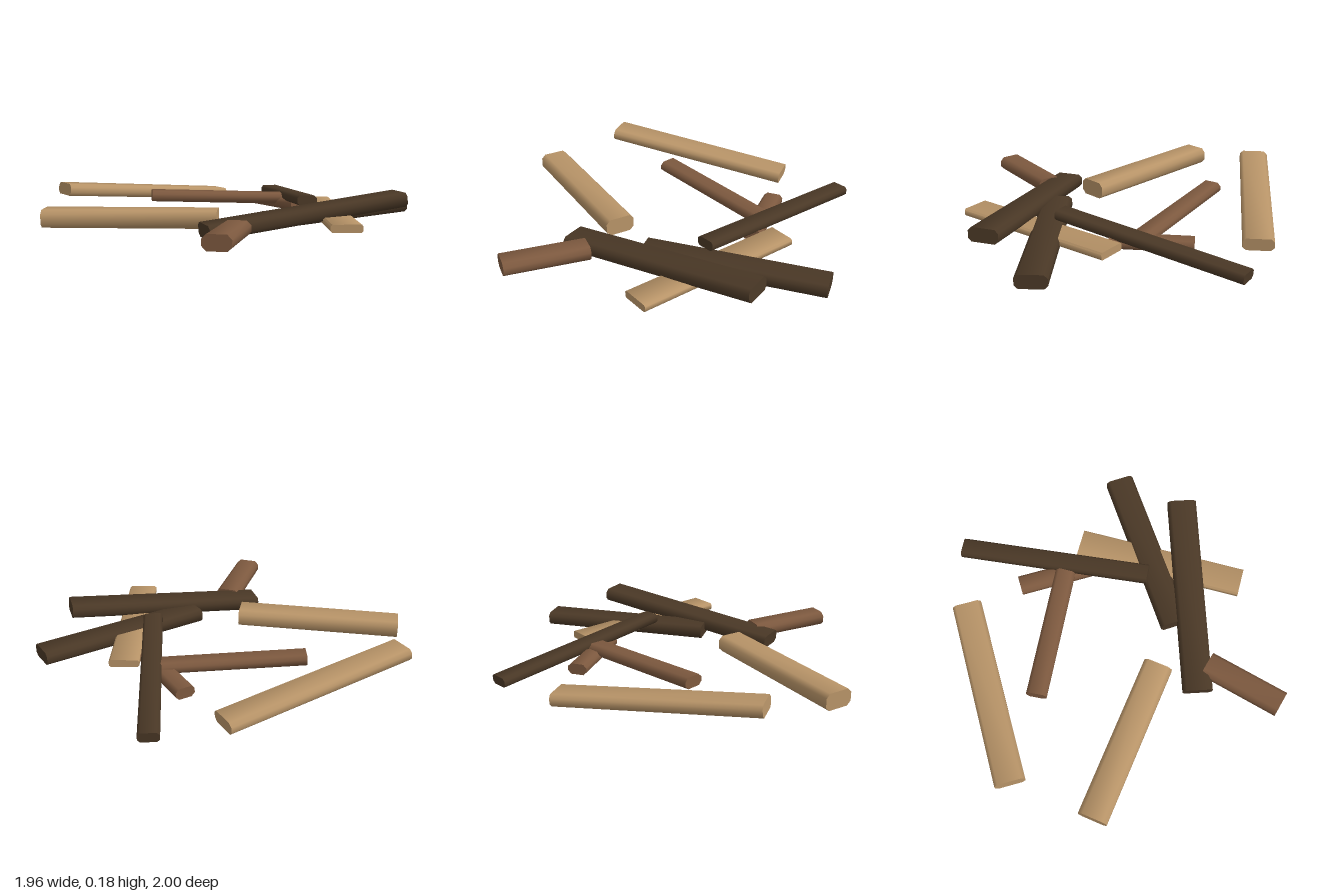
import * as THREE from 'three';
import { toCreasedNormals } from 'three/addons/utils/BufferGeometryUtils.js';

const tan = new THREE.MeshStandardMaterial({ name: 'tan wood', color: 0xb89468 });
const brown = new THREE.MeshStandardMaterial({ name: 'brown wood', color: 0x7d593f });
const dark = new THREE.MeshStandardMaterial({ name: 'dark wood', color: 0x4a3826 });

// Plank with chamfered long edges, running between two end centres
function plank(name, material, from, to, width, thick, chamfer = 0.018) {
  const a = new THREE.Vector3(...from), b = new THREE.Vector3(...to);
  const w = width / 2, h = thick / 2, c = chamfer;
  const section = new THREE.Shape([
    [-w + c, -h], [w - c, -h], [w, -h + c], [w, h - c],
    [w - c, h], [-w + c, h], [-w, h - c], [-w, -h + c],
  ].map(([x, y]) => new THREE.Vector2(x, y)));
  const geometry = toCreasedNormals(
    new THREE.ExtrudeGeometry(section, { depth: a.distanceTo(b), bevelEnabled: false }), 0.95);

  // Lay the extrusion along the line, keeping the plank's width level
  const along = b.clone().sub(a).normalize();
  const side = new THREE.Vector3(0, 1, 0).cross(along).normalize();
  const up = along.clone().cross(side);
  geometry.applyMatrix4(new THREE.Matrix4().makeBasis(side, up, along).setPosition(a));

  const mesh = new THREE.Mesh(geometry, material);
  mesh.name = name;
  return mesh;
}

export function createModel() {
  const group = new THREE.Group();
  group.name = 'plankPile';
  group.add(
    // Tan planks
    plank('backTanPlank', tan, [-0.923, 0.147, -0.015], [-0.185, 0.045, -0.77], 0.16, 0.066),
    plank('frontTanPlank', tan, [-0.86, 0.06, 0.43], [0.03, 0.066, 0.325], 0.158, 0.092, 0.022),
    plank('thinTanPlank', tan, [0.455, 0.065, -0.41], [0.69, 0.063, 0.49], 0.158, 0.04, 0.008),
    // Dark planks
    plank('backDarkPlank', dark, [0.105, 0.046, -0.983], [0.452, 0.125, 0.025], 0.105, 0.052, 0.013),
    plank('middleDarkPlank', dark, [0.29, 0.06, 0.29], [0.92, 0.055, -0.42], 0.157, 0.072),
    plank('frontDarkPlank', dark, [0.015, 0.042, 0.578], [0.93, 0.145, -0.02], 0.16, 0.074),
    // Brown planks
    plank('longBrownPlank', brown, [-0.452, 0.105, -0.15], [0.28, 0.075, -0.4], 0.11, 0.06),
    plank('crossBrownPlank', brown, [0.065, 0.05, -0.575], [0.37, 0.055, -0.28], 0.105, 0.06),
    plank('shortBrownPlank', brown, [0.172, 0.06, 0.552], [0.163, 0.073, 0.997], 0.137, 0.076, 0.022),
  );
  return group;
}
